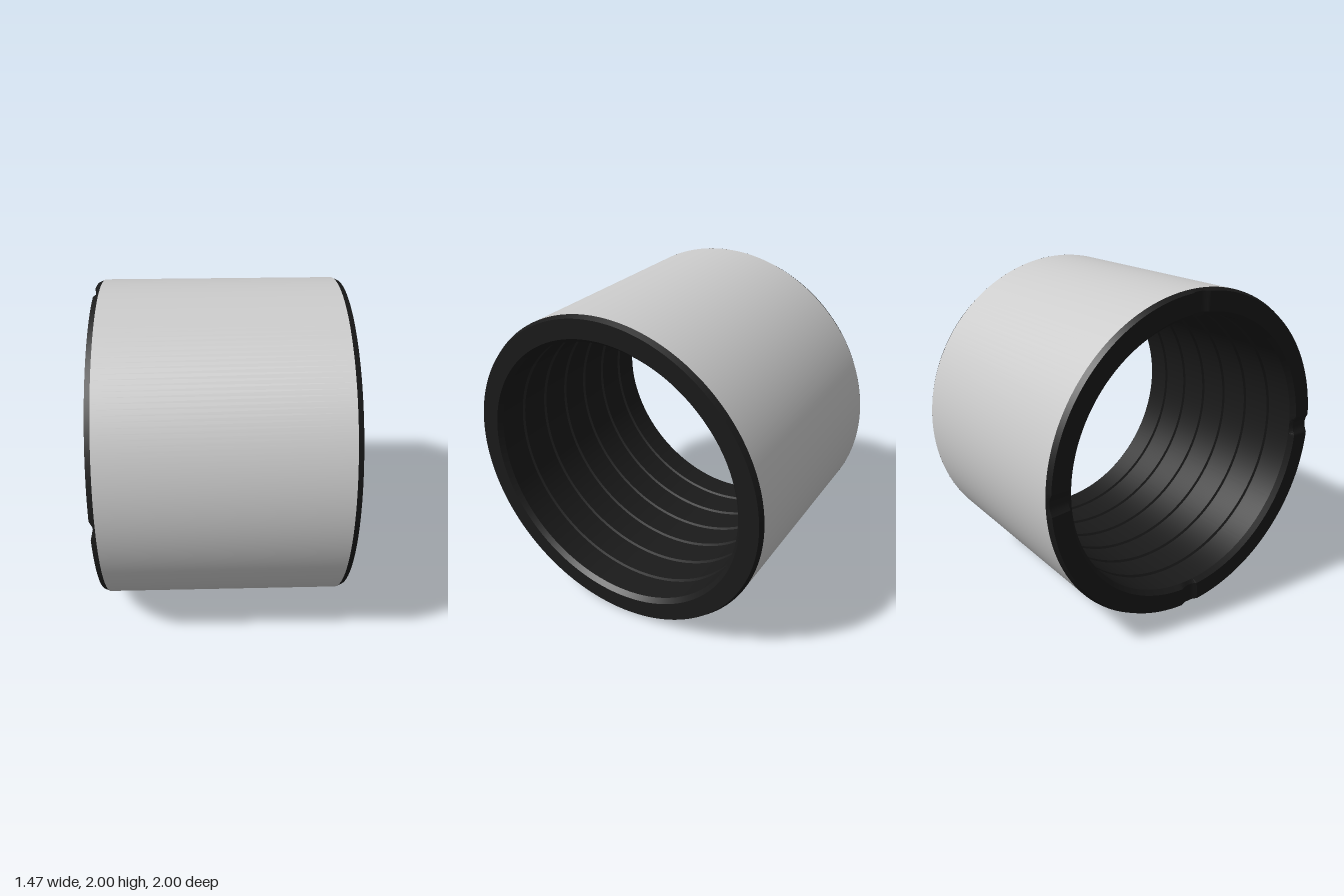
import * as THREE from 'three';
import { toCreasedNormals } from 'three/addons/utils/BufferGeometryUtils.js';

const HALF = 0.737;      // half length over the liner flanges
const SLEEVE = 0.705;    // half length of the metal sleeve
const OUTER = 1, SEAT = 0.95, BORE = 0.845;

// Closed ring turned about the x axis from [radius, x] points, counter-clockwise
function turnedRing(points, segments) {
  const profile = [...points, points[0]].map(([r, x]) => new THREE.Vector2(r, x));
  return new THREE.LatheGeometry(profile, segments).rotateZ(-Math.PI / 2);
}

// Four shallow round notches cut radially across the -x end
function cutNotches(geometry, halfWidth, depth) {
  const radius = (halfWidth ** 2 + depth ** 2) / (2 * depth);
  const centre = -HALF + depth - radius;
  const p = geometry.attributes.position;
  for (let i = 0; i < p.count; i++) {
    const across = Math.min(Math.abs(p.getY(i)), Math.abs(p.getZ(i)));
    if (p.getX(i) < -SLEEVE - 0.001 && across < halfWidth) {
      const floor = centre + Math.sqrt(radius ** 2 - across ** 2);
      p.setX(i, Math.max(p.getX(i), floor));
    }
  }
}

export function createModel() {
  const model = new THREE.Group();
  model.name = 'bushing';

  // Metal sleeve
  const sleeve = new THREE.Mesh(
    toCreasedNormals(turnedRing(
      [[SEAT, -SLEEVE], [OUTER, -SLEEVE], [OUTER, SLEEVE], [SEAT, SLEEVE]], 192), 0.5),
    new THREE.MeshStandardMaterial({ color: 0xcccccc }));
  sleeve.name = 'sleeve';

  // Dark liner: bevelled flange at each end, grooves along the bore
  const profile = [
    [SEAT, -SLEEVE], [SEAT, SLEEVE],
    [OUTER, SLEEVE], [0.985, HALF], [0.87, HALF], [BORE, HALF - 0.03],
  ];
  for (let i = 5; i >= 0; i--) {
    const x = (i - 2.5) * 0.21;
    profile.push([BORE, x + 0.018], [BORE + 0.014, x + 0.01],
      [BORE + 0.014, x - 0.01], [BORE, x - 0.018]);
  }
  profile.push([BORE, -HALF + 0.03], [0.87, -HALF], [0.985, -HALF], [OUTER, -SLEEVE]);
  const linerGeometry = turnedRing(profile, 480);
  cutNotches(linerGeometry, 0.06, 0.02);
  const liner = new THREE.Mesh(
    toCreasedNormals(linerGeometry, 0.3),
    new THREE.MeshStandardMaterial({ color: 0x1a1a1a }));
  liner.name = 'liner';

  model.add(sleeve, liner);
  model.position.y = OUTER;
  const root = new THREE.Group();
  root.name = 'sleeveBearing';
  root.add(model);
  return root;
}
